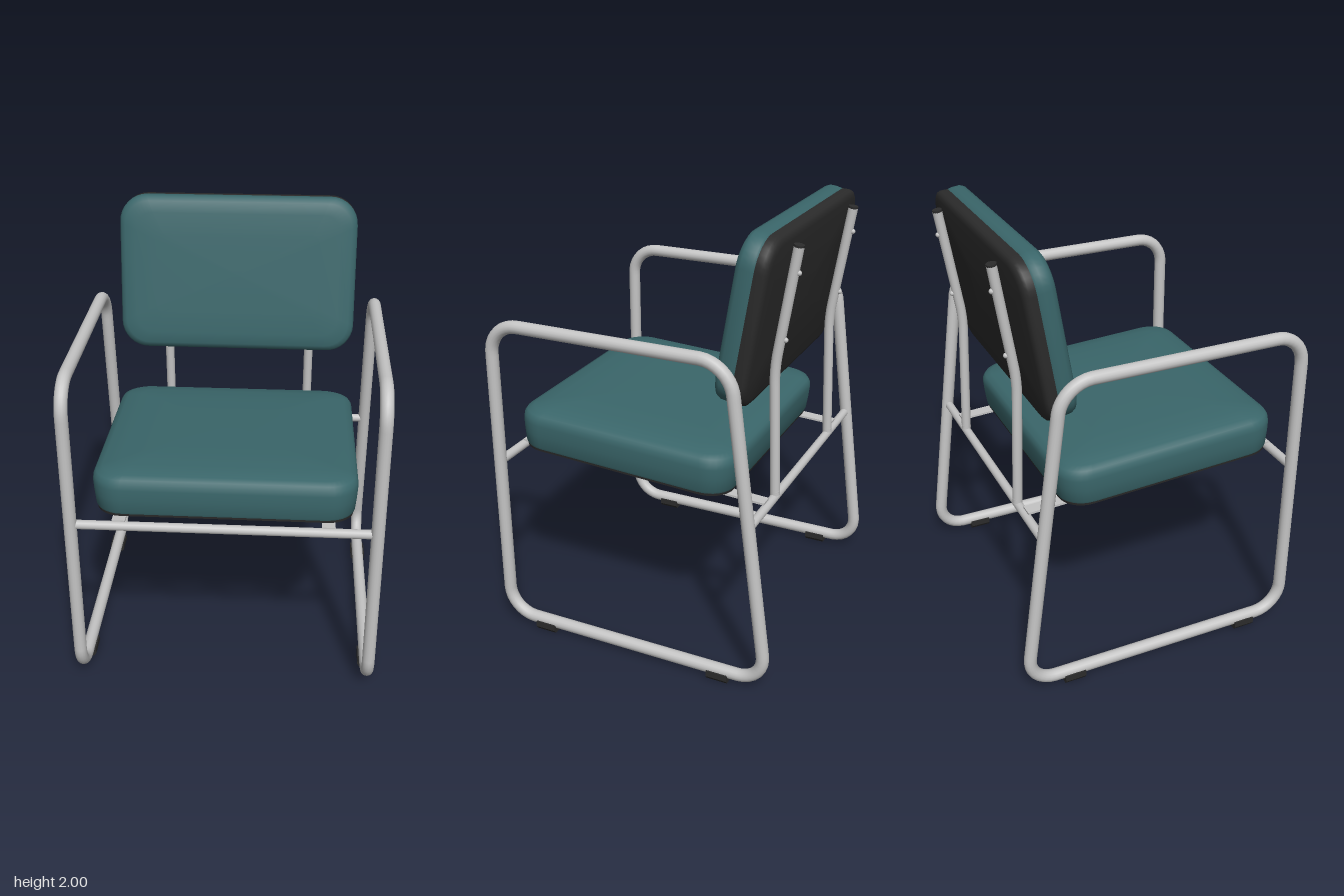
import * as THREE from 'three';
import { toCreasedNormals } from 'three/addons/utils/BufferGeometryUtils.js';

const V = (x, y, z) => new THREE.Vector3(x, y, z);

// Rounded rectangle stacked along z; each layer is [z, inset]
function pad(halfW, halfH, radius, layers) {
  const seg = 8, ring = 4 * (seg + 1), pos = [], idx = [];
  const corners = [[1, 1], [-1, 1], [-1, -1], [1, -1]];
  for (const [z, inset] of layers) {
    const r = Math.max(radius - inset * 0.6, 0.03);
    corners.forEach(([sx, sy], c) => {
      for (let k = 0; k <= seg; k++) {
        const a = (c + k / seg) * Math.PI / 2;
        pos.push(sx * (halfW - inset - r) + r * Math.cos(a), sy * (halfH - inset - r) + r * Math.sin(a), z);
      }
    });
  }
  const last = (layers.length - 1) * ring, low = layers.length * ring;
  pos.push(0, 0, layers[0][0], 0, 0, layers[layers.length - 1][0]);
  for (let j = 0; j < ring; j++) {
    const n = (j + 1) % ring;
    for (let o = 0; o < last; o += ring) {
      idx.push(o + j, o + n, o + ring + n, o + j, o + ring + n, o + ring + j);
    }
    idx.push(low, n, j, low + 1, last + j, last + n);
  }
  const g = new THREE.BufferGeometry();
  g.setAttribute('position', new THREE.Float32BufferAttribute(pos, 3));
  g.setIndex(idx);
  g.computeVertexNormals();
  return toCreasedNormals(g, 0.8);
}

// Path through corner points with each corner rounded off over a distance d
function roundedPath(points, d, closed) {
  const path = new THREE.CurvePath(), n = points.length;
  const toward = (a, b, s) => a.clone().addScaledVector(b.clone().sub(a).normalize(), s);
  let from = closed ? toward(points[0], points[1], d) : points[0];
  for (let i = 1; i < (closed ? n + 1 : n - 1); i++) {
    const p = points[i % n], prev = points[i - 1], next = points[(i + 1) % n];
    const a = toward(p, prev, d), b = toward(p, next, d);
    path.add(new THREE.LineCurve3(from, a));
    path.add(new THREE.CubicBezierCurve3(a, toward(p, prev, d * 0.45), toward(p, next, d * 0.45), b));
    from = b;
  }
  if (!closed) path.add(new THREE.LineCurve3(from, points[n - 1]));
  return path;
}

export function createModel() {
  const model = new THREE.Group();
  model.name = 'armchair';
  const material = (name, color) => {
    const m = new THREE.MeshStandardMaterial({ color });
    m.name = name;
    return m;
  };
  const teal = material('teal fabric', 0x3a666a);
  const steel = material('light grey steel', 0xc4c4c4);
  const black = material('black plastic', 0x2b2b2b);
  const add = (name, geometry, mat, parent = model) => {
    const mesh = new THREE.Mesh(geometry, mat);
    mesh.name = name;
    parent.add(mesh);
    return mesh;
  };

  // Seat: shell and cushion, tipped slightly back
  const seat = new THREE.Group();
  seat.name = 'seat';
  seat.position.set(0, 0.86, 0.105);
  seat.rotation.x = -Math.PI / 2 - 0.05;
  model.add(seat);
  add('seatShell', pad(0.57, 0.52, 0.12, [[0, 0.02], [0.008, 0.006], [0.02, 0.004]]), black, seat);
  add('seatCushion', pad(0.58, 0.53, 0.13, [
    [0.015, 0.016], [0.03, 0.009], [0.09, 0.003], [0.14, 0], [0.165, 0.003],
    [0.183, 0.014], [0.196, 0.04], [0.208, 0.11], [0.216, 0.22], [0.218, 0.36],
  ]), teal, seat);

  // Backrest: cushion in front of a moulded panel
  const back = new THREE.Group();
  back.name = 'backrest';
  back.position.set(0, 1.625, -0.485);
  back.rotation.x = -0.166;
  model.add(back);
  add('backPanel', pad(0.57, 0.372, 0.13, [
    [-0.056, 0.035], [-0.052, 0.016], [-0.043, 0.004], [-0.03, 0], [0, 0.002],
  ]), black, back);
  add('backCushion', pad(0.57, 0.372, 0.13, [
    [0, 0.01], [0.01, 0.002], [0.03, 0], [0.06, 0.001], [0.077, 0.009], [0.087, 0.028], [0.093, 0.08], [0.096, 0.18],
  ]), teal, back);

  // Cross bars between the side frames
  for (const [name, y, z, r] of [['frontBar', 0.86, 0.645, 0.021], ['rearBar', 0.795, -0.565, 0.02]]) {
    const bar = add(name, new THREE.CylinderGeometry(r, r, 1.31, 16), steel);
    bar.rotation.z = Math.PI / 2;
    bar.position.set(0, y, z);
  }

  // Foot profile wrapping the lower half of the tube
  const footShape = new THREE.Shape([
    [-0.036, 0.046], [-0.036, 0.018], [-0.026, 0.003], [0.026, 0.003], [0.036, 0.018], [0.036, 0.046],
  ].map(([x, y]) => new THREE.Vector2(x, y)));
  const footGeometry = new THREE.ExtrudeGeometry(footShape, { depth: 0.1, bevelEnabled: false });
  const screwGeometry = new THREE.SphereGeometry(0.012, 10, 8);

  for (const s of [-1, 1]) {
    const side = s > 0 ? 'left' : 'right';

    // Closed tube loop forming legs, armrest and runner
    const x = s * 0.665;
    const loop = roundedPath([V(x, 0.048, 0.652), V(x, 1.518, 0.652), V(x, 1.518, -0.473), V(x, 0.048, -0.665)], 0.135, true);
    add(side + 'SideFrame', new THREE.TubeGeometry(loop, 200, 0.029, 16, true), steel);
    for (const [name, z] of [['FrontFoot', 0.443], ['RearFoot', -0.443]]) {
      add(side + name, footGeometry, black).position.set(x, 0, z - 0.05);
    }

    // Flat rail carrying the seat, with screws
    const rail = add(side + 'SeatRail', new THREE.BoxGeometry(0.058, 0.01, 1.21), steel);
    rail.position.set(s * 0.455, 0.851, 0.04);
    rail.rotation.x = -0.05;
    for (const z of [0.41, -0.3]) {
      add(side + 'SeatScrew', screwGeometry, steel, rail).position.set(0, -0.004, z);
    }

    // Bent upright holding the backrest, with cap and screws
    const rx = s * 0.357;
    const upright = roundedPath([V(rx, 0.81, -0.567), V(rx, 1.4, -0.546), V(rx, 1.93, -0.631)], 0.06, false);
    add(side + 'Upright', new THREE.TubeGeometry(upright, 40, 0.022, 14, false), steel);
    add(side + 'UprightEnd', new THREE.SphereGeometry(0.022, 14, 10), steel).position.set(rx, 0.828, -0.567);
    const cap = add(side + 'UprightCap', new THREE.CylinderGeometry(0.0225, 0.0225, 0.009, 14), black);
    cap.position.set(rx, 1.932, -0.631);
    cap.rotation.x = -0.16;
    for (const [y, z] of [[1.53, -0.589], [1.82, -0.635]]) {
      add(side + 'BackScrew', screwGeometry, steel).position.set(rx, y, z);
    }
  }
  return model;
}
